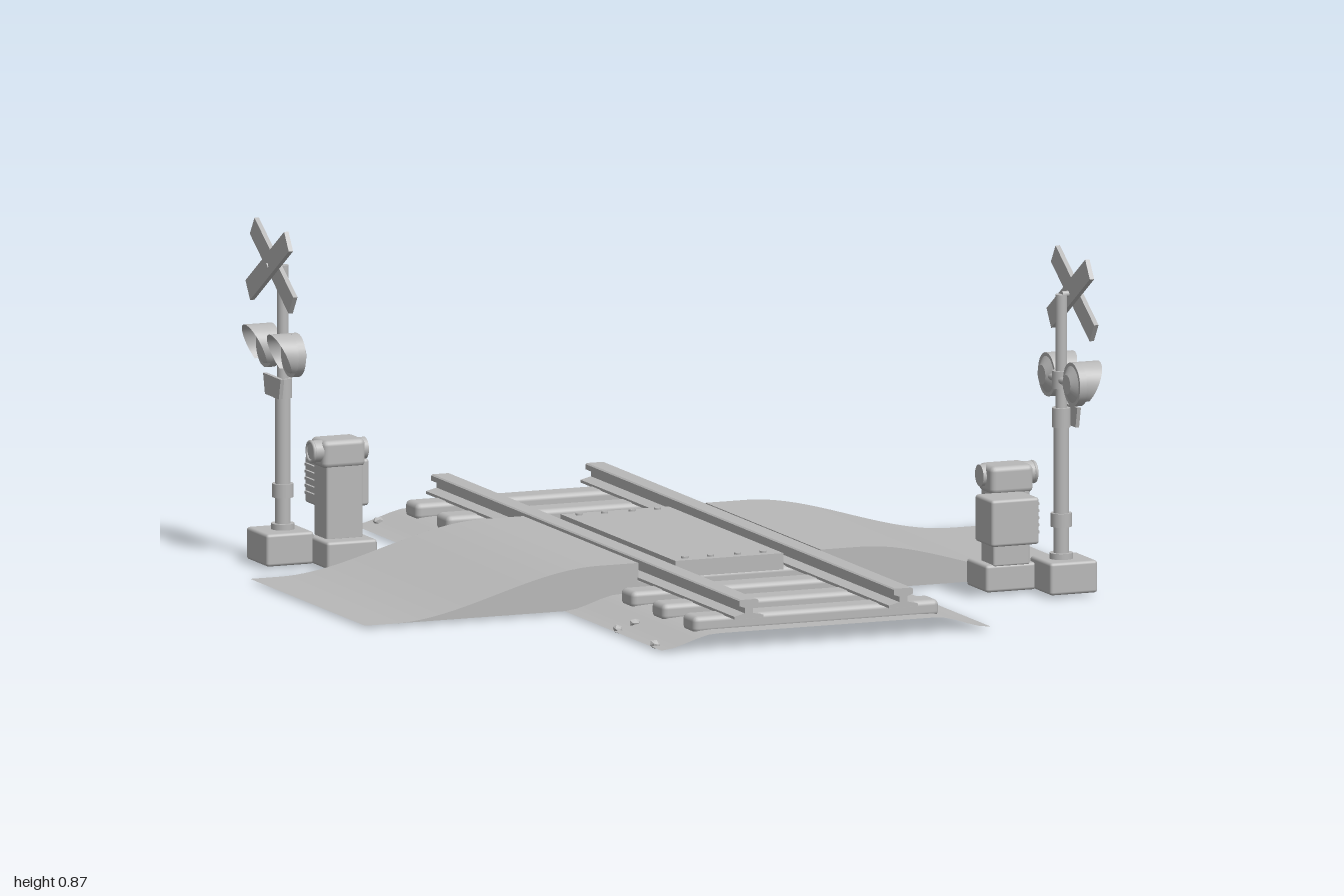
import * as THREE from 'three';
import { RoundedBoxGeometry } from 'three/addons/geometries/RoundedBoxGeometry.js';

export function createModel() {
  const model = new THREE.Group();
  model.name = 'railwayCrossing';
  const grey = new THREE.MeshStandardMaterial({ color: 0xb8b8b8, side: THREE.DoubleSide });
  grey.name = 'plain grey';

  const add = (parent, name, geo, x = 0, y = 0, z = 0) => {
    const m = new THREE.Mesh(geo, grey);
    m.name = name;
    m.position.set(x, y, z);
    parent.add(m);
    return m;
  };
  // Box given by its limits on each axis, optionally with rounded edges
  const box = (parent, name, [x0, x1], [y0, y1], [z0, z1], r = 0) => {
    const s = [x1 - x0, y1 - y0, z1 - z0];
    const geo = r ? new RoundedBoxGeometry(...s, 2, r) : new THREE.BoxGeometry(...s);
    return add(parent, name, geo, (x0 + x1) / 2, (y0 + y1) / 2, (z0 + z1) / 2);
  };
  // Cylinder lying along x
  const rod = (r, len, sides = 24) => new THREE.CylinderGeometry(r, r, len, sides).rotateZ(-Math.PI / 2);
  // Flat sheet whose height follows a rule of x
  const sheet = (x0, x1, depth, height, n) => {
    const g = new THREE.PlaneGeometry(x1 - x0, depth, n, 1).rotateX(-Math.PI / 2).translate((x0 + x1) / 2, 0, 0);
    const p = g.attributes.position;
    for (let i = 0; i < p.count; i++) p.setY(i, height(p.getX(i)));
    g.computeVertexNormals();
    return g;
  };
  const smooth = (x, lo, hi) => THREE.MathUtils.smoothstep(x, lo, hi);

  // Gravel bed, falling away at its edges
  const bedHeight = (x) => 0.034 * (1 - smooth(Math.abs(x), 0.3, 0.452));
  add(model, 'gravelBed', sheet(-0.452, 0.452, 2, bedHeight, 28));

  // Sleepers
  for (let i = 0; i < 10; i++) {
    const z = -0.9 + i * 0.2;
    box(model, 'sleeper', [-0.337, 0.337], [0.024, 0.068], [z - 0.04, z + 0.04], 0.014);
  }

  // Rails with foot, web and head
  const half = [[0.04, 0.066], [0.04, 0.073], [0.011, 0.08], [0.011, 0.094], [0.026, 0.099], [0.026, 0.112], [0.022, 0.115]];
  const outline = [...half, ...half.map(([x, y]) => [-x, y]).reverse()].map(([x, y]) => new THREE.Vector2(x, y));
  const railGeo = new THREE.ExtrudeGeometry(new THREE.Shape(outline), { depth: 2, bevelEnabled: false });
  for (const s of [-1, 1]) add(model, 'rail', railGeo, s * 0.212, 0, -1);

  // Crossing panel between the rails, with bolts
  box(model, 'crossingPanel', [-0.148, 0.148], [0.066, 0.108], [-0.372, 0.372]);
  for (const x of [-0.11, -0.04, 0.035, 0.105])
    for (const z of [-0.343, 0.343])
      add(model, 'panelBolt', new THREE.CylinderGeometry(0.009, 0.009, 0.006, 10), x, 0.11, z);

  // Road ramps: curved top with side and inner walls
  const roadHeight = (x) => 0.11 * (1 - smooth(x, 0.36, 0.92));
  const ramp = new THREE.Group();
  ramp.name = 'roadRamp';
  add(ramp, 'roadSurface', sheet(0.25, 1, 0.745, roadHeight, 30));
  const wall = new THREE.Shape([new THREE.Vector2(0.25, 0), new THREE.Vector2(0.92, 0)]);
  for (let i = 29; i >= 0; i--) {
    const x = 0.25 + (0.67 * i) / 30;
    wall.lineTo(x, roadHeight(x));
  }
  for (const s of [-1, 1]) {
    const side = add(ramp, 'roadSide', new THREE.ShapeGeometry(wall), 0, 0, s * 0.3725);
    if (s < 0) {
      side.geometry.scale(-1, 1, 1).rotateY(Math.PI).scale(1, 1, 1);
      // Reverse the corners so the face looks outward
      const ix = side.geometry.index;
      for (let i = 0; i < ix.count; i += 3) {
        const a = ix.getX(i);
        ix.setX(i, ix.getX(i + 1));
        ix.setX(i + 1, a);
      }
      side.geometry.computeVertexNormals();
    }
  }
  add(ramp, 'roadInnerEdge', new THREE.PlaneGeometry(0.745, 0.11).rotateY(-Math.PI / 2), 0.25, 0.055, 0);
  model.add(ramp);
  const ramp2 = ramp.clone();
  ramp2.rotation.y = Math.PI;
  model.add(ramp2);

  // Loose stones
  const stones = [[-0.4, -0.96], [0.39, -0.95], [0.37, -0.85], [0.42, -0.835], [0.37, -0.76], [0.39, -0.7],
    [0.11, -0.76], [0.16, -0.61], [0.4, -0.4], [-0.17, -0.57], [-0.44, 0.69], [-0.39, 0.68], [0.08, 0.57], [0.16, 0.605], [-0.44, 0.93]];
  stones.forEach(([x, z], i) => {
    const stone = add(model, 'stone', new THREE.IcosahedronGeometry(0.014, 0), x, bedHeight(x) + 0.004, z);
    stone.rotation.set(i, i * 2, 0);
    stone.scale.set(1.1, 0.75, 0.9);
  });

  // Signal post with its gate cabinet, facing +x
  const signal = new THREE.Group();
  signal.name = 'crossingSignal';
  const px = 0.822, pz = 0.582;
  const tube = (name, r, y0, y1) =>
    add(signal, name, new THREE.CylinderGeometry(r, r, y1 - y0, 20), px, (y0 + y1) / 2, pz);
  box(signal, 'postFooting', [0.765, 0.895], [0, 0.083], [0.512, 0.648], 0.008);
  box(signal, 'cabinetFooting', [0.632, 0.77], [0, 0.07], [0.415, 0.545], 0.008);
  tube('postFoot', 0.03, 0.083, 0.098);
  tube('lowerPost', 0.02, 0.09, 0.43);
  tube('upperPost', 0.015, 0.42, 0.76);
  tube('lowerCollar', 0.027, 0.165, 0.2);
  tube('upperCollar', 0.024, 0.42, 0.47);

  // Small trapezoid plate under the lights
  const plate = new THREE.Shape([[-0.045, 0], [0.045, 0], [0.057, 0.052], [-0.057, 0.052]].map((p) => new THREE.Vector2(...p)));
  add(signal, 'smallPlate', new THREE.ExtrudeGeometry(plate, { depth: 0.01, bevelEnabled: false }).rotateY(Math.PI / 2), 0.842, 0.424, pz);

  // Twin lights on a cross arm
  add(signal, 'lightArm', new THREE.CylinderGeometry(0.009, 0.009, 0.18, 12).rotateX(Math.PI / 2), 0.815, 0.542, pz);
  tube('lightBracket', 0.024, 0.52, 0.565);
  for (const s of [-1, 1]) {
    const z = pz + s * 0.081;
    add(signal, 'lightHousing', rod(0.056, 0.022, 28), 0.827, 0.542, z);
    add(signal, 'lightBack', new THREE.CylinderGeometry(0.05, 0.025, 0.016, 28).rotateZ(-Math.PI / 2), 0.81, 0.542, z);
    const lens = new THREE.SphereGeometry(0.046, 24, 8, 0, Math.PI * 2, 0, Math.PI / 2).scale(1, 0.25, 1).rotateZ(-Math.PI / 2);
    add(signal, 'lens', lens, 0.838, 0.542, z);
    // Hood sloped back towards its lower edge
    const hood = new THREE.CylinderGeometry(0.056, 0.056, 0.055, 28, 1, true, Math.PI * 0.75, Math.PI * 1.5).rotateZ(-Math.PI / 2);
    const p = hood.attributes.position;
    for (let i = 0; i < p.count; i++)
      if (p.getX(i) > 0) p.setX(i, 0.0275 - 0.05 * (0.5 - p.getY(i) / 0.112));
    hood.computeVertexNormals();
    add(signal, 'lightHood', hood, 0.863, 0.542, z);
    // Crossed boards
    const board = add(signal, 'crossBoard', new THREE.BoxGeometry(0.012, 0.055, 0.3), 0.853 + s * 0.006, 0.76, pz);
    board.rotation.x = s * 0.58;
  }
  add(signal, 'boardBolt', rod(0.008, 0.045, 10), 0.846, 0.76, pz);

  // Gate cabinet with its drive housing
  box(signal, 'gateCabinet', [0.652, 0.752], [0.065, 0.27], [0.462, 0.545], 0.006);
  box(signal, 'cabinetHead', [0.645, 0.762], [0.25, 0.322], [0.458, 0.549], 0.014);
  add(signal, 'driveShaft', rod(0.028, 0.148), 0.71, 0.293, 0.49);
  add(signal, 'driveRim', new THREE.TorusGeometry(0.025, 0.005, 8, 24).rotateY(Math.PI / 2), 0.783, 0.293, 0.49);

  // Relay box with louvres
  box(signal, 'relayBox', [0.604, 0.735], [0.135, 0.255], [0.535, 0.648], 0.008);
  for (let i = 0; i < 5; i++) {
    const y = 0.16 + i * 0.018;
    box(signal, 'louvre', [0.733, 0.742], [y, y + 0.007], [0.555, 0.63]);
  }
  model.add(signal);
  const signal2 = signal.clone();
  signal2.rotation.y = Math.PI;
  model.add(signal2);

  return model;
}
